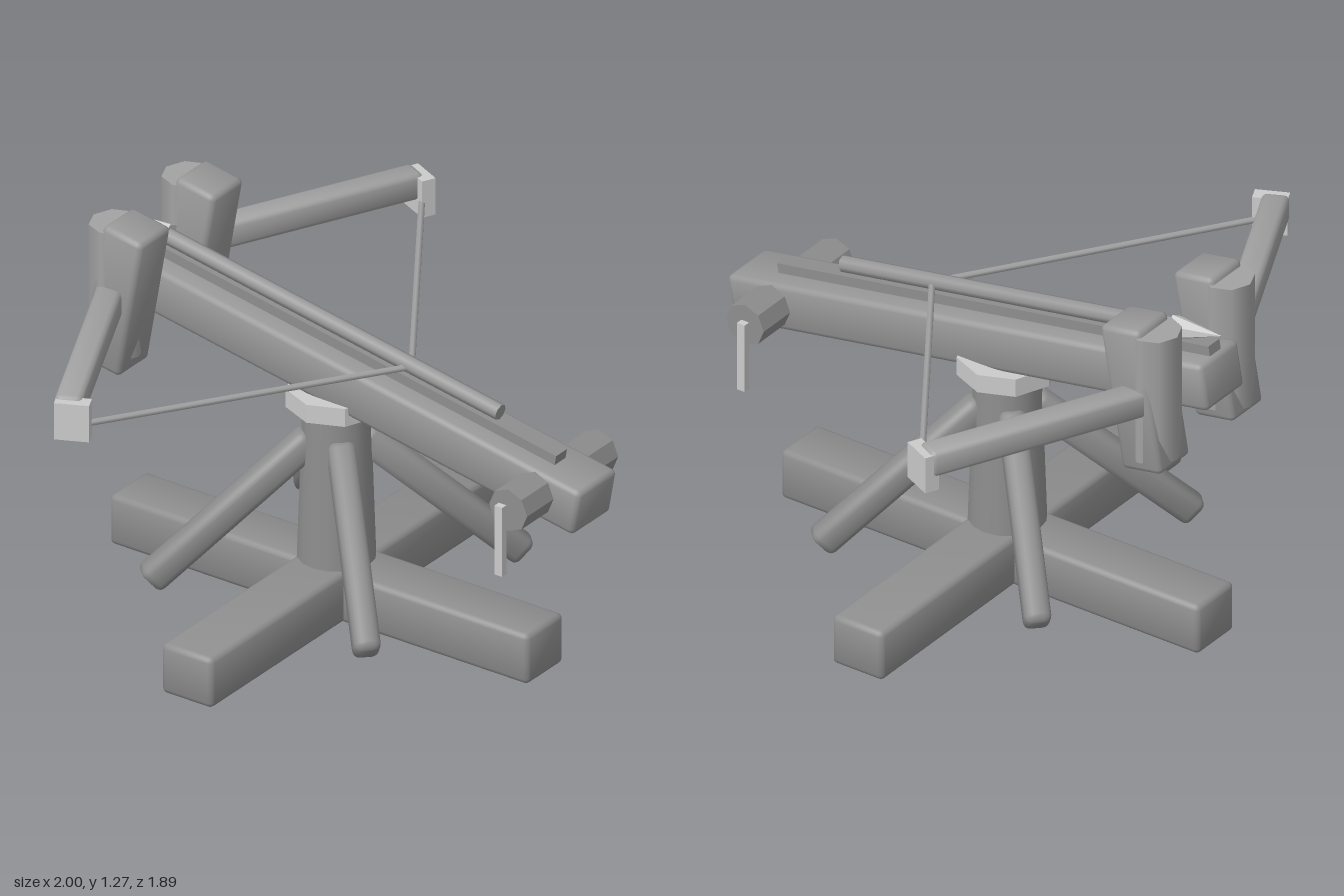
import * as THREE from 'three';
import { RoundedBoxGeometry } from 'three/addons/geometries/RoundedBoxGeometry.js';

const material = (color, flatShading = false) => new THREE.MeshStandardMaterial({ color, flatShading });
const baseWood = material(0x8e8e8e);
const facetedWood = material(0x8e8e8e, true);
const stockWood = material(0x989898);
const armWood = material(0xa2a2a2);
const rope = material(0xa2a2a2);
const metal = material(0xcccccc, true);
const TILT = THREE.MathUtils.degToRad(10);
const PIVOT_Z = -0.085;

function add(parent, name, geometry, x, y, z, mat) {
  const mesh = new THREE.Mesh(geometry, mat);
  mesh.name = name;
  mesh.position.set(x, y, z);
  parent.add(mesh);
  return mesh;
}

// timber with rounded edges, its normals leaning outward for soft shading
function timber(w, h, d, r = 0.018) {
  const geometry = new RoundedBoxGeometry(w, h, d, 2, r);
  const { position, normal } = geometry.attributes;
  const n = new THREE.Vector3();
  for (let i = 0; i < position.count; i++) {
    n.fromBufferAttribute(normal, i);
    n.x += 0.3 * Math.sign(position.getX(i));
    n.y += 0.3 * Math.sign(position.getY(i));
    n.z += 0.3 * Math.sign(position.getZ(i));
    n.normalize();
    normal.setXYZ(i, n.x, n.y, n.z);
  }
  return geometry;
}

// place a geometry that runs along z so that it spans from a to b
function span(parent, name, a, b, makeGeometry, mat) {
  const start = new THREE.Vector3(...a);
  const end = new THREE.Vector3(...b);
  const mid = start.clone().add(end).multiplyScalar(0.5);
  const mesh = add(parent, name, makeGeometry(start.distanceTo(end)), mid.x, mid.y, mid.z, mat);
  mesh.lookAt(end);
}

export function createModel() {
  const model = new THREE.Group();
  model.name = 'ballista';

  // crossed floor beams
  add(model, 'crossBeam', timber(1.65, 0.18, 0.2), 0, 0.092, PIVOT_Z, baseWood);
  add(model, 'longBeam', timber(0.2, 0.18, 1.65), 0, 0.09, PIVOT_Z, baseWood);

  // central post and octagonal collar
  add(model, 'post', new THREE.CylinderGeometry(0.11, 0.13, 0.6, 16), 0, 0.45, PIVOT_Z, baseWood);
  add(model, 'collar', new THREE.CylinderGeometry(0.165, 0.165, 0.065, 8), 0, 0.76, PIVOT_Z, metal);

  // four diagonal braces
  for (const sx of [-1, 1]) {
    for (const sz of [-1, 1]) {
      span(model, 'brace',
        [sx * 0.432, 0.138, PIVOT_Z + sz * 0.432],
        [sx * 0.055, 0.615, PIVOT_Z + sz * 0.055],
        (length) => timber(0.088, 0.1, length, 0.025), baseWood);
    }
  }

  // tilted stock with its rail and bolt
  const stock = new THREE.Group();
  stock.name = 'stock';
  stock.position.set(0, 0.848, 0);
  stock.rotation.x = TILT;
  model.add(stock);
  add(stock, 'stockBeam', timber(0.21, 0.165, 1.9), 0, 0, 0, stockWood);
  add(stock, 'rail', new THREE.BoxGeometry(0.06, 0.05, 1.73), 0, 0.092, -0.07, baseWood);

  const shaft = new THREE.CylinderGeometry(0.028, 0.028, 1.36, 8).rotateX(-Math.PI / 2);
  add(stock, 'boltShaft', shaft, 0, 0.145, -0.135, stockWood);
  const head = new THREE.ConeGeometry(0.044, 0.19, 6).rotateX(-Math.PI / 2);
  add(stock, 'boltHead', head, 0, 0.147, -0.878, metal);

  for (const s of [-1, 1]) {
    // torsion housing square to the stock, with an upright rope bundle
    add(stock, 'torsionHousing', timber(0.168, 0.515, 0.156), s * 0.2, 0.018, -0.788, stockWood);
    add(model, 'torsionBundle', new THREE.CylinderGeometry(0.09, 0.09, 0.46, 8), s * 0.2, 1.015, -0.81, rope);

    // bow arm and its tip
    span(model, 'bowArm', [s * 0.2, 1.002, -0.82], [s * 0.96, 1.002, -0.455],
      (length) => timber(0.09, 0.095, length), armWood);
    const tip = add(model, 'armTip', new THREE.BoxGeometry(0.05, 0.132, 0.115), s * 0.953, 0.973, -0.44, metal);
    tip.rotation.y = -s * THREE.MathUtils.degToRad(25);

    // bowstring half, drawn back to the middle of the rail
    span(model, 'bowstring', [s * 0.95, 0.953, -0.43], [0, 0.953, 0.212],
      (length) => new THREE.CylinderGeometry(0.012, 0.012, length, 6).rotateX(Math.PI / 2), rope);

    // winch crank
    add(model, 'winchHandle', new THREE.BoxGeometry(0.024, 0.25, 0.03), s * 0.276, 0.615, 0.76, metal);
  }

  // winch drum across the rear of the stock
  const drum = new THREE.CylinderGeometry(0.075, 0.075, 0.5, 8).rotateZ(Math.PI / 2);
  add(model, 'winchDrum', drum, 0, 0.715, 0.772, facetedWood);

  return model;
}
